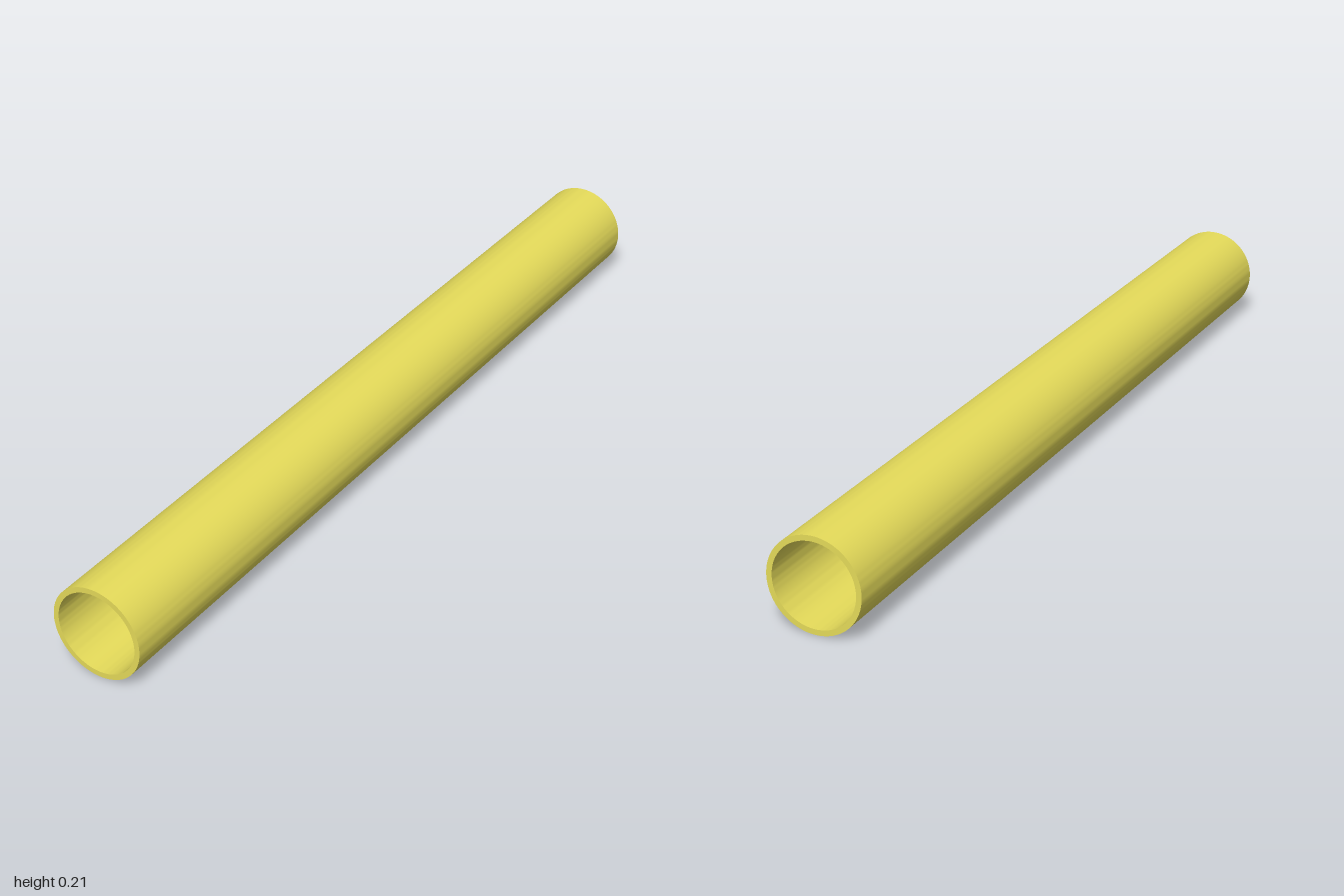
import * as THREE from 'three';
import { toCreasedNormals } from 'three/addons/utils/BufferGeometryUtils.js';

const LENGTH = 2, OUTER = 0.104, INNER = 0.092;

export function createModel() {
  const group = new THREE.Group();
  group.name = 'pipe';

  // Closed wall section: outer wall, end rim, bore, other end rim
  const h = LENGTH / 2;
  const section = [[OUTER, -h], [OUTER, h], [INNER, h], [INNER, -h], [OUTER, -h]]
    .map(([r, y]) => new THREE.Vector2(r, y));

  // Revolve the section, keep the rims sharp, and lay the tube along z
  const geometry = toCreasedNormals(new THREE.LatheGeometry(section, 96), Math.PI / 6);
  geometry.rotateX(Math.PI / 2);

  const tube = new THREE.Mesh(geometry, new THREE.MeshStandardMaterial({ color: 0xe6dc5a }));
  tube.name = 'tube';
  tube.position.set(0.002, OUTER, 0);
  group.add(tube);

  return group;
}
